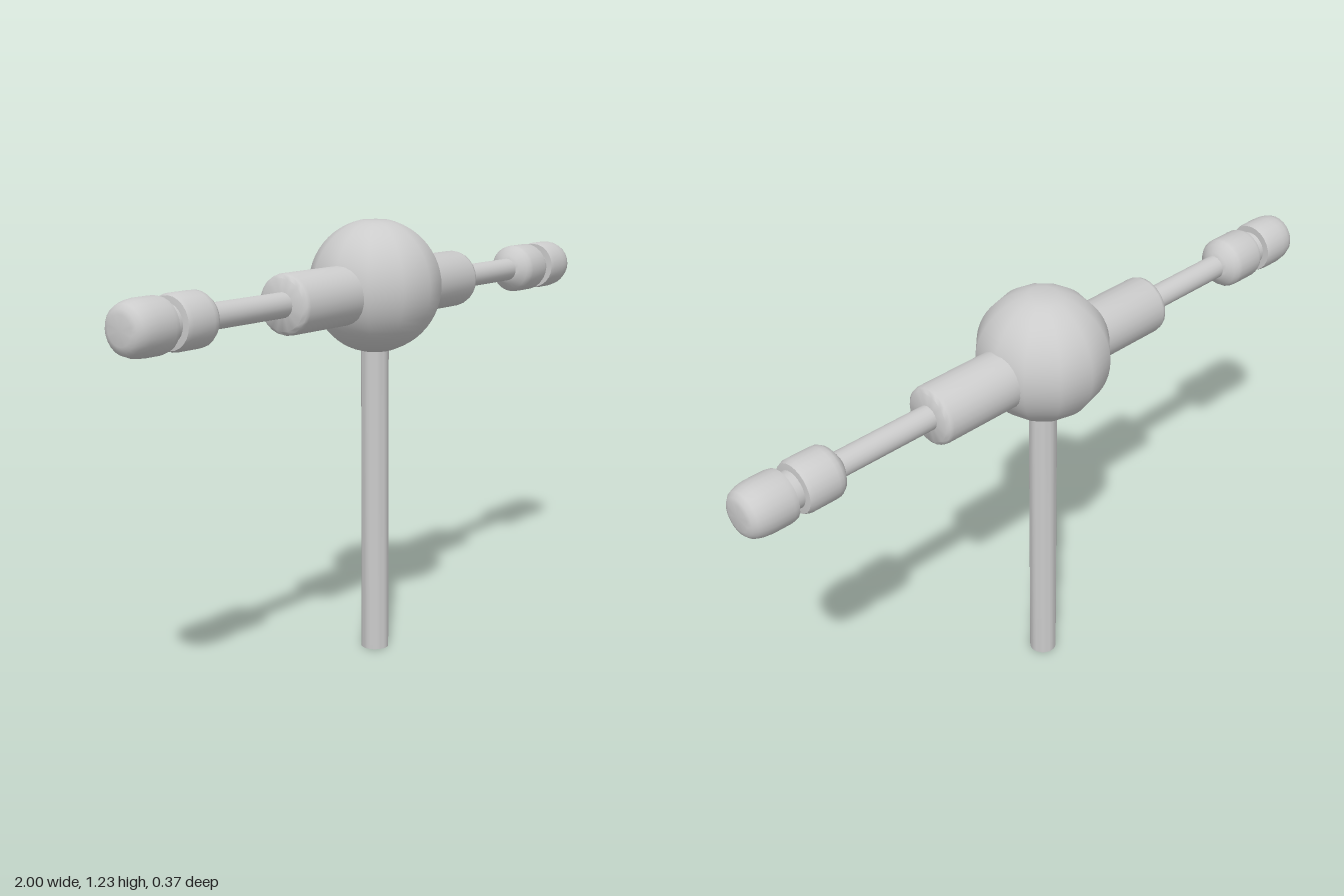
import * as THREE from 'three';
import { toCreasedNormals } from 'three/addons/utils/BufferGeometryUtils.js';

const material = new THREE.MeshStandardMaterial({ color: 0xcccccc });

// Turned part from [radius, height] pairs, with hard edges kept sharp
function turned(name, points, segments) {
  const lathe = new THREE.LatheGeometry(points.map(([r, h]) => new THREE.Vector2(r, h)), segments);
  const mesh = new THREE.Mesh(toCreasedNormals(lathe, 0.7), material);
  mesh.name = name;
  return mesh;
}

// One side arm, running from the hub out to its tip
function arm(name, turn) {
  const group = new THREE.Group();
  group.name = name;
  const sleeve = turned('sleeve', [
    [0, 0.02], [0.082, 0.02], [0.082, 0.392], [0.079, 0.403], [0.07, 0.41], [0, 0.41],
  ], 24);
  const rod = turned('rod', [[0.034, 0.39], [0.034, 0.72]], 20);
  const collar = turned('collar', [
    [0, 0.70], [0.034, 0.705], [0.044, 0.711], [0.063, 0.724], [0.071, 0.737],
    [0.072, 0.75], [0.072, 0.825], [0.067, 0.838], [0.05, 0.84], [0, 0.84],
  ], 24);
  const neck = turned('grooveNeck', [[0.05, 0.835], [0.05, 0.875]], 24);
  const cap = turned('tipCap', [
    [0, 0.87], [0.069, 0.87], [0.072, 0.885], [0.072, 0.94], [0.069, 0.965],
    [0.062, 0.985], [0.051, 0.996], [0.038, 1], [0, 1],
  ], 24);
  for (const part of [sleeve, rod, collar, neck, cap]) {
    part.geometry.rotateZ(-Math.PI / 2);
    group.add(part);
  }
  group.position.y = 1.038;
  group.rotation.y = turn;
  return group;
}

export function createModel() {
  const model = new THREE.Group();
  model.name = 'crossArmPost';

  // Post
  model.add(turned('post', [[0, 0], [0.039, 0], [0.039, 0.9]], 24));

  // Ball hub with small flats at top and bottom
  const radius = 0.186, steps = 24, flat = 0.215;
  const profile = [[0, -radius * Math.cos(flat)]];
  for (let i = 0; i <= steps; i++) {
    const a = flat + (Math.PI - 2 * flat) * i / steps;
    profile.push([radius * Math.sin(a), -radius * Math.cos(a)]);
  }
  profile.push([0, radius * Math.cos(flat)]);
  const hub = turned('ballHub', profile, 12);
  hub.position.y = 1.052;
  model.add(hub);

  // Matching arms on both sides
  model.add(arm('leftArm', 0), arm('rightArm', Math.PI));
  return model;
}
